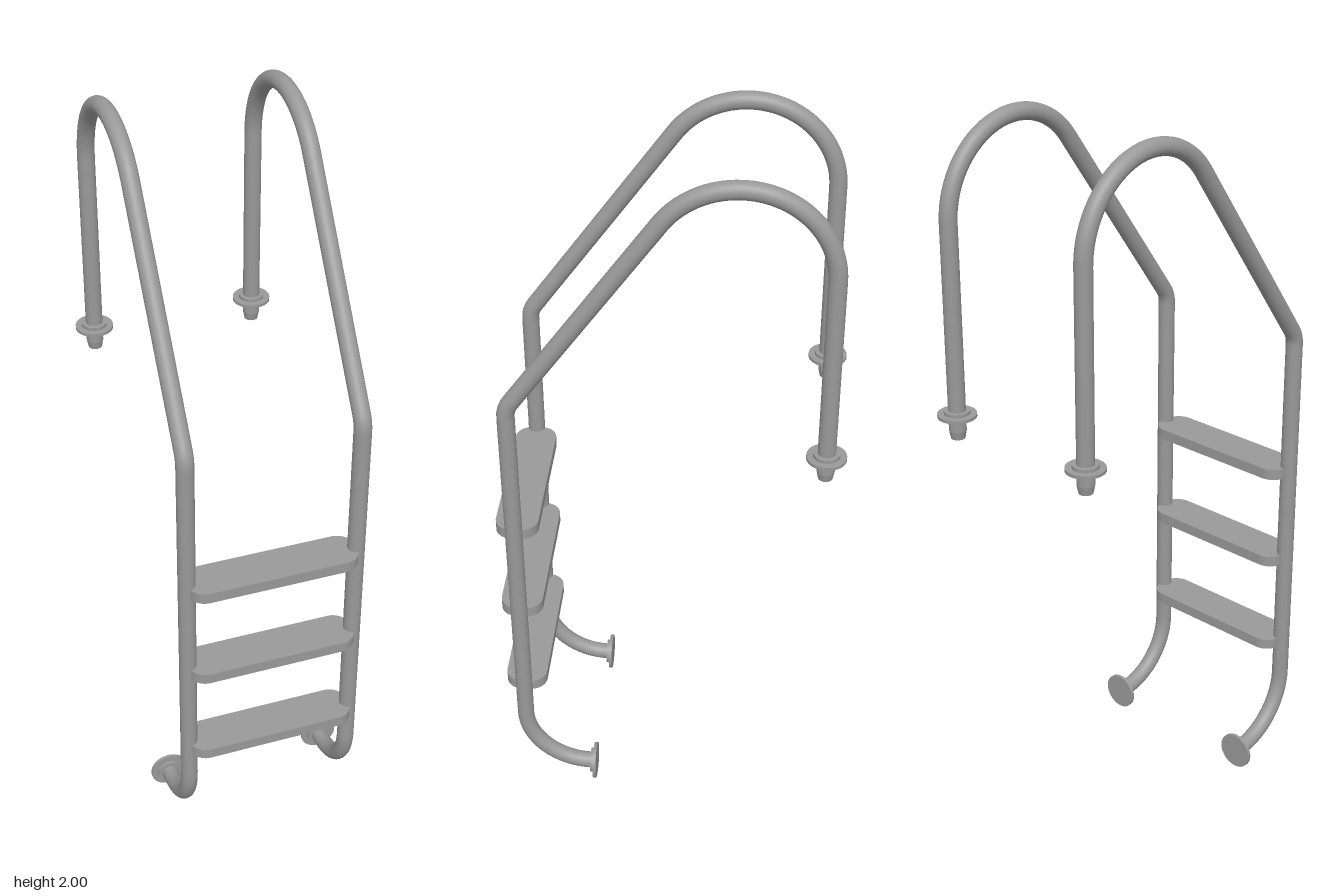
import * as THREE from 'three';

const RAIL_X = 0.235, RAIL_R = 0.0235, RAIL_Z = 0.411, BACK_Z = -0.413, FOOT_Y = 0.0525;

// Side profile of one handrail, drawn in (z, y) and placed in the x = 0 plane
class RailCurve extends THREE.Curve {
  constructor() {
    super();
    const lean = 0.623; // tilt of the sloping section from vertical
    const p = new THREE.Path();
    p.moveTo(0.215, FOOT_Y);
    p.absarc(RAIL_Z - 0.188, FOOT_Y + 0.188, 0.188, -Math.PI / 2, 0, false); // foot bend
    p.absarc(RAIL_Z - 0.07, 1.303, 0.07, 0, lean, false);                    // shoulder bend
    p.absarc(BACK_Z + 0.235, 1.742, 0.235, lean, Math.PI, false);            // top hoop
    p.lineTo(BACK_Z, 1.21);
    this.profile = p;
  }
  getPoint(t, target = new THREE.Vector3()) {
    const q = this.profile.getPointAt(t);
    return target.set(0, q.y, q.x);
  }
}

export function createModel() {
  const model = new THREE.Group();
  const material = new THREE.MeshStandardMaterial({ color: 0x999999 });

  const add = (parent, name, geometry, x = 0, y = 0, z = 0) => {
    const mesh = new THREE.Mesh(geometry, material);
    mesh.name = name;
    mesh.position.set(x, y, z);
    parent.add(mesh);
  };
  const disc = (rTop, rBottom, h) => new THREE.CylinderGeometry(rTop, rBottom, h, 40);

  // Flange plate with a smaller raised collar, axis along +y
  const makeFlange = (name) => {
    const flange = new THREE.Group();
    flange.name = name;
    add(flange, 'flangePlate', disc(0.0525, 0.0525, 0.009), 0, 0.0045, 0);
    add(flange, 'flangeCollar', disc(0.035, 0.035, 0.009), 0, 0.0135, 0);
    return flange;
  };

  const railGeometry = new THREE.TubeGeometry(new RailCurve(), 240, RAIL_R, 28, false);

  // Handrails, each with a wall foot and a deck anchor
  for (const [side, s] of [['left', 1], ['right', -1]]) {
    const rail = new THREE.Group();
    rail.name = side + 'Rail';
    rail.position.x = s * RAIL_X;
    add(rail, side + 'Handrail', railGeometry);

    const foot = makeFlange(side + 'WallFoot');
    foot.rotation.x = Math.PI / 2;
    foot.position.set(0, FOOT_Y, 0.207);
    rail.add(foot);

    const anchor = makeFlange(side + 'DeckFlange');
    anchor.position.set(0, 1.213, BACK_Z);
    rail.add(anchor);
    add(rail, side + 'AnchorPlug', disc(RAIL_R, RAIL_R, 0.04), 0, 1.194, BACK_Z);
    add(rail, side + 'AnchorTip', disc(RAIL_R, 0.019, 0.023), 0, 1.1625, BACK_Z);
    model.add(rail);
  }

  // Steps: flat treads with rounded corners
  const w = 0.235, d = 0.058, r = 0.046, thickness = 0.031;
  const tread = new THREE.Shape();
  tread.absarc(w - r, d - r, r, 0, Math.PI / 2, false);
  tread.absarc(-w + r, d - r, r, Math.PI / 2, Math.PI, false);
  tread.absarc(-w + r, -d + r, r, Math.PI, Math.PI * 1.5, false);
  tread.absarc(w - r, -d + r, r, Math.PI * 1.5, Math.PI * 2, false);
  const treadGeometry = new THREE.ExtrudeGeometry(tread, {
    depth: thickness, bevelEnabled: false, curveSegments: 10,
  });
  treadGeometry.translate(0, 0, -thickness / 2);
  treadGeometry.rotateX(-Math.PI / 2);
  [0.348, 0.629, 0.91].forEach((y, i) => add(model, 'step' + (i + 1), treadGeometry, 0, y, 0.4075));

  return model;
}
